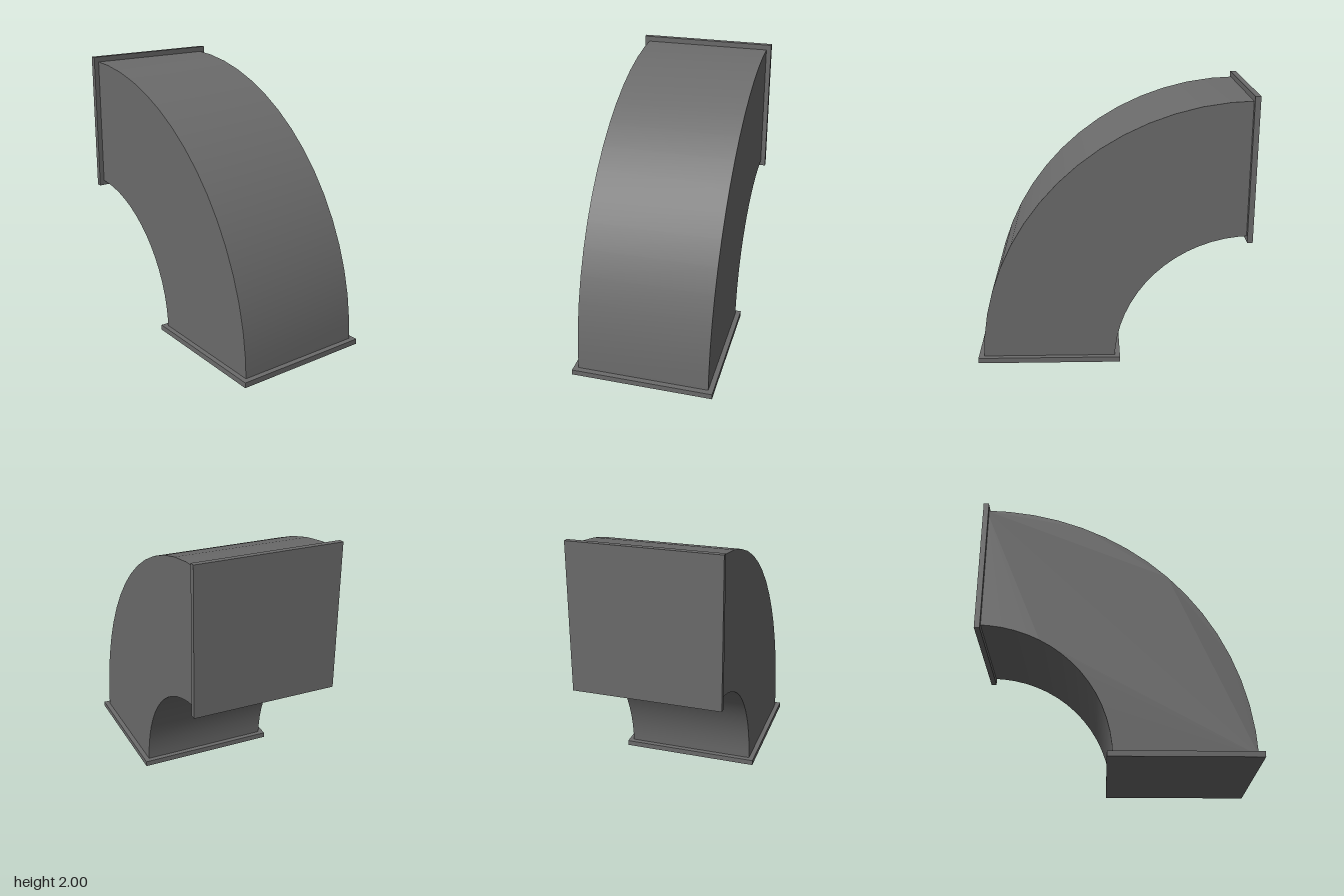
import * as THREE from 'three';
import { toCreasedNormals } from 'three/addons/utils/BufferGeometryUtils.js';

const OUTER = 1.962, INNER = 0.984; // bend radii about (-1, 0)
const WIDTH = 0.98, LIP = 0.039, THICK = 0.04;
const SEGMENTS = 16;

export function createModel() {
  const group = new THREE.Group();
  group.name = 'ductElbow';
  const material = new THREE.MeshStandardMaterial({ color: 0x6b6b6b });

  const add = (name, geometry, x, y, z) => {
    const mesh = new THREE.Mesh(geometry, material);
    mesh.name = name;
    mesh.position.set(x, y, z);
    group.add(mesh);
  };

  // Quarter bend: both ends stop inside the flanges
  const arc = (radius) => {
    const points = [];
    for (let i = 0; i <= SEGMENTS; i++) {
      const a = (i / SEGMENTS) * Math.PI / 2;
      points.push(new THREE.Vector2(
        Math.max(radius * Math.cos(a), THICK / 2),
        Math.max(radius * Math.sin(a), THICK / 2)));
    }
    return points;
  };
  const profile = new THREE.Shape([...arc(OUTER), ...arc(INNER).reverse()]);
  const bend = new THREE.ExtrudeGeometry(profile, { depth: WIDTH, bevelEnabled: false });
  add('bend', toCreasedNormals(bend, 0.5), -1, 0, -WIDTH / 2);

  // Flange plates closing the two ends
  const length = OUTER - INNER + 2 * LIP;
  const depth = WIDTH + 2 * LIP - 0.004;
  const middle = (OUTER + INNER) / 2;
  add('bottomFlange', new THREE.BoxGeometry(length, THICK, depth), middle - 1, THICK / 2, 0);
  add('sideFlange', new THREE.BoxGeometry(THICK, length, depth), -1 + THICK / 2, middle, 0);

  return group;
}
